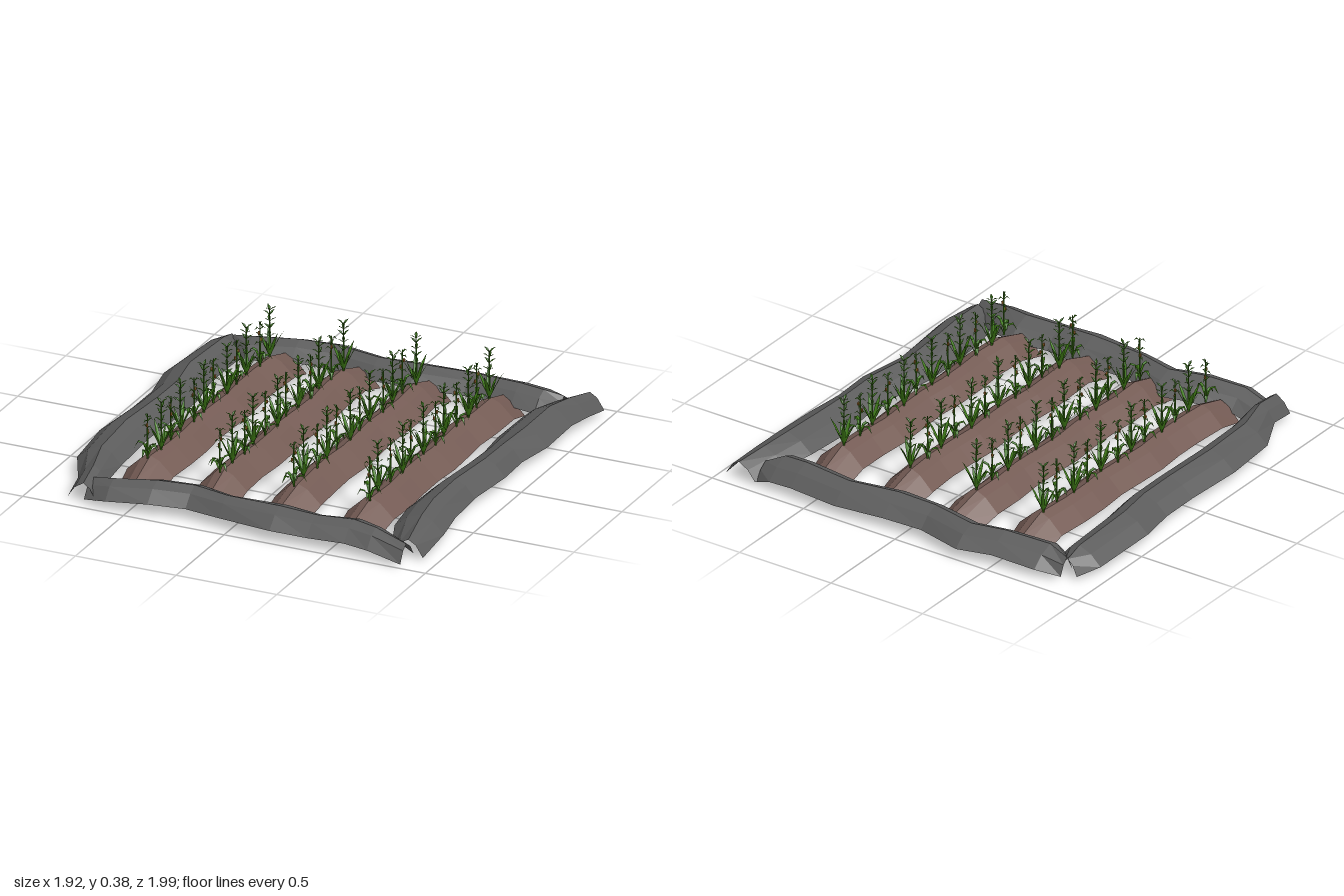
import * as THREE from 'three';
import { mergeGeometries } from 'three/addons/utils/BufferGeometryUtils.js';

const paint = (color) => new THREE.MeshStandardMaterial({ color, flatShading: true, side: THREE.DoubleSide });
const STONE = paint(0x5c5c5c);
const SOIL = paint(0x755c55);
const LEAF = paint(0x3c7814);
const COB = paint(0x8a5a1e);

// Skin a list of equal-length cross-sections ([x, y, z] points)
function loft(sections) {
  const n = sections[0].length;
  const index = [];
  for (let i = 0; i < sections.length - 1; i++) {
    for (let j = 0; j < n - 1; j++) {
      const a = i * n + j, b = a + 1, c = a + n, d = c + 1;
      index.push(a, c, b, b, c, d);
    }
  }
  const geo = new THREE.BufferGeometry();
  geo.setAttribute('position', new THREE.Float32BufferAttribute(sections.flat(2), 3));
  geo.setIndex(index);
  const flat = geo.toNonIndexed();
  flat.computeVertexNormals();
  return flat;
}

function add(parent, name, geo, mat) {
  const mesh = new THREE.Mesh(geo, mat);
  mesh.name = name;
  parent.add(mesh);
  return mesh;
}

// Border stations: [distance along, low edge, high edge]; an arched open shell
const ARCH = [[0, 0.055], [0.25, 0.105], [0.55, 0.132], [0.78, 0.11], [1, 0.055]];
function borderGeometry(stations, alongX) {
  const last = stations.length - 1;
  return loft(stations.map(([s, lo, hi], i) => {
    const fromEnd = Math.min(i, last - i);
    const drop = [0.035, 0.008, 0][Math.min(fromEnd, 2)] + 0.004 * Math.sin(i * 2.3);
    const row = ARCH.map(([t, y]) => {
      const w = lo + (hi - lo) * t;
      return alongX ? [s, y - drop, w] : [w, y - drop, s];
    });
    return alongX ? row.reverse() : row;
  }));
}

const BORDERS = {
  leftBorder: [false, [[-0.95, 0.80, 0.96], [-0.8, 0.74, 0.95], [-0.65, 0.70, 0.94], [-0.4, 0.69, 0.94],
    [-0.2, 0.71, 0.91], [0, 0.70, 0.92], [0.25, 0.67, 0.89], [0.5, 0.67, 0.91], [0.67, 0.69, 0.935], [0.88, 0.77, 0.93]]],
  rightBorder: [false, [[-0.85, -0.89, -0.80], [-0.75, -0.95, -0.74], [-0.4, -0.965, -0.73], [-0.2, -0.93, -0.70],
    [0, -0.93, -0.70], [0.3, -0.95, -0.71], [0.6, -0.92, -0.70], [0.8, -0.82, -0.68], [0.95, -0.80, -0.66]]],
  frontBorder: [true, [[-0.72, 0.76, 0.95], [-0.6, 0.77, 0.98], [-0.4, 0.72, 0.96], [-0.23, 0.69, 0.92],
    [-0.05, 0.75, 0.95], [0.22, 0.73, 0.99], [0.4, 0.76, 0.975], [0.58, 0.73, 0.97], [0.7, 0.77, 0.98], [0.87, 0.85, 0.99]]],
  backBorder: [true, [[-0.83, -0.89, -0.80], [-0.72, -0.94, -0.71], [-0.5, -0.96, -0.75], [-0.33, -0.995, -0.77],
    [-0.1, -0.94, -0.73], [0.1, -0.955, -0.72], [0.35, -0.975, -0.76], [0.6, -0.96, -0.73], [0.72, -0.955, -0.72], [0.8, -0.94, -0.81]]],
};

// Soil ridge: trapezoid shell with a wavering outline, bending down at both ends
const RIDGE = [[-0.115, 0.052], [-0.045, 0.118], [0, 0.137], [0.045, 0.118], [0.115, 0.052]];
function soilGeometry(seed) {
  const stations = [-0.78, -0.62, -0.45, -0.3, -0.15, 0, 0.15, 0.3, 0.45, 0.62, 0.78];
  return loft(stations.map((z, i) => {
    const end = i === 0 || i === stations.length - 1;
    const sway = 0.007 * Math.sin(i * 1.9 + seed);
    return RIDGE.map(([x, y]) => [x * (end ? 0.9 : 1) + sway, y - (end ? 0.05 : 0), z]);
  }));
}

// Folded leaf along a path of [reach, height, half width], turned about the stalk
function leaf(path, angle, base = 0) {
  return loft(path.map(([r, y, w]) => [[r, y, -w], [r, y - w * 0.5, 0], [r, y, w]]))
    .rotateY(angle).translate(0, base, 0);
}

function stalk(height, radius) {
  const geo = new THREE.CylinderGeometry(radius * 0.5, radius, height, 5, 1, true).toNonIndexed();
  geo.deleteAttribute('uv');
  return geo.translate(0, height / 2, 0);
}

const UPRIGHT = [[0, 0, 0.004], [0.018, 0.045, 0.009], [0.04, 0.09, 0.008], [0.062, 0.125, 0.0005]];
const DROOPING = [[0, 0.015, 0.004], [0.02, 0.06, 0.009], [0.042, 0.068, 0.009], [0.06, 0.035, 0.0005]];
const SMALL = [[0, 0, 0.003], [0.014, 0.014, 0.007], [0.03, 0.02, 0.0005]];
const SMALL_DROOP = [[0, 0, 0.003], [0.014, 0.014, 0.006], [0.028, 0.003, 0.0005]];

// Tall plant: fan of upright blades with small leaf tiers above
function uprightPlantGeometry() {
  const parts = [stalk(0.235, 0.005)];
  for (let i = 0; i < 7; i++) {
    const blade = leaf(UPRIGHT, i * 0.9 + 0.3);
    const s = i % 2 ? 0.8 : 1.05;
    parts.push(blade.scale(s, s, s));
  }
  [0.1, 0.14, 0.175, 0.205, 0.228].forEach((y, tier) => {
    for (let k = 0; k < 3; k++) parts.push(leaf(SMALL, tier * 1.1 + k * 2.09, y));
  });
  return mergeGeometries(parts);
}

// Shorter plant: leaves that arch over and hang
function droopingPlantGeometry() {
  const parts = [stalk(0.215, 0.005)];
  for (let i = 0; i < 5; i++) parts.push(leaf(DROOPING, i * 1.257 + 0.5, i % 2 ? 0.015 : -0.01));
  [0.11, 0.15, 0.18, 0.2].forEach((y, tier) => {
    for (let k = 0; k < 2; k++) parts.push(leaf(SMALL_DROOP, tier * 1.4 + k * 2.8, y));
  });
  return mergeGeometries(parts);
}

export function createModel() {
  const model = new THREE.Group();
  model.name = 'cropBed';

  for (const [name, [alongX, stations]] of Object.entries(BORDERS)) {
    add(model, name, borderGeometry(stations, alongX), STONE);
  }

  const upright = uprightPlantGeometry();
  const drooping = droopingPlantGeometry();
  const cob = new THREE.SphereGeometry(0.006, 5, 4).scale(1, 1.8, 1);

  // Four soil rows, each with twelve alternating plants
  [-0.54, -0.18, 0.18, 0.55].forEach((x, row) => {
    const bed = new THREE.Group();
    bed.name = 'plantedRow';
    bed.position.x = x;
    model.add(bed);
    add(bed, 'soilRidge', soilGeometry(row * 1.7), SOIL);
    for (let i = 0; i < 12; i++) {
      const tall = i % 2 === 0;
      const plant = new THREE.Group();
      plant.name = tall ? 'uprightPlant' : 'droopingPlant';
      plant.position.set(0.008 * Math.sin(i * 2.1 + row), 0.135, -0.61 + i * 0.1145);
      plant.rotation.y = row * 0.9 + i * 1.3;
      bed.add(plant);
      add(plant, 'foliage', tall ? upright : drooping, LEAF);
      if (!tall) {
        [[0.008, 0.13], [-0.008, 0.165]].forEach(([cx, cy]) => add(plant, 'cob', cob, COB).position.set(cx, cy, 0));
      }
    }
  });
  return model;
}
